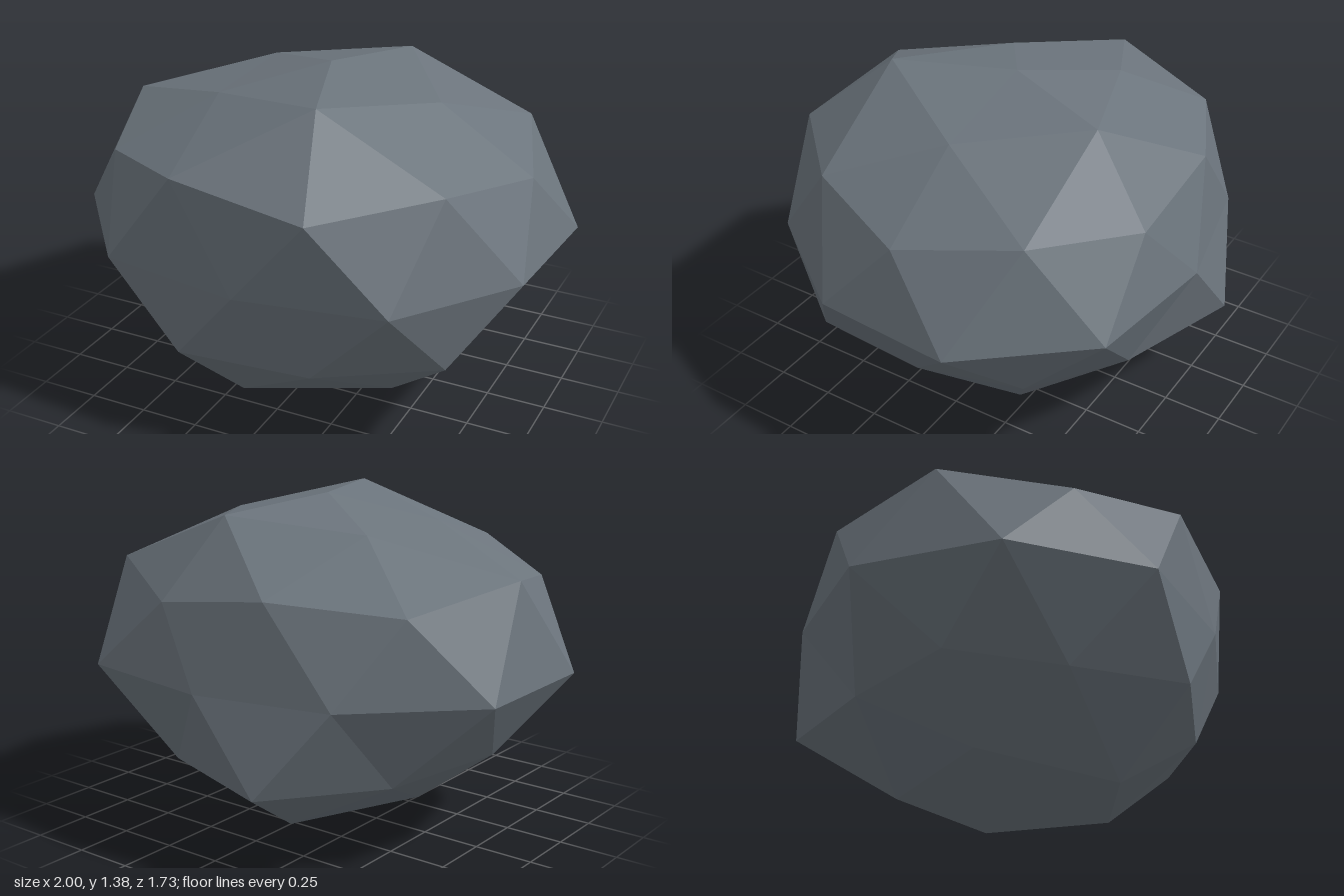
import * as THREE from 'three';

// Boulder: a once-subdivided icosahedron standing on a pole, with a rough radius per vertex.
// Each row: height and ring radius on the unit sphere (even / odd corners), start angle, roughness.
const ROWS = [
  { even: [0.851, 0.526], odd: [0.851, 0.526], start: 0, step: 72,
    rough: [0.846, 0.98, 0.83, 0.845, 0.92] },
  { even: [0.447, 0.894], odd: [0.526, 0.851], start: 0, step: 36,
    rough: [0.906, 0.925, 1.0, 1.0, 0.945, 1.0, 0.95, 0.9, 0.86, 0.95] },
  { even: [0, 1], odd: [0, 1], start: 18, step: 36,
    rough: [0.925, 0.94, 0.868, 0.96, 0.98, 0.975, 0.89, 0.845, 0.945, 0.965] },
  { even: [-0.526, 0.851], odd: [-0.447, 0.894], start: 0, step: 36,
    rough: [0.812, 0.925, 0.88, 0.95, 0.876, 0.85, 0.858, 1.01, 0.845, 0.85] },
  { even: [-0.851, 0.526], odd: [-0.851, 0.526], start: 36, step: 72,
    rough: [0.91, 0.98, 0.835, 0.91, 0.895] },
];
const STRETCH = new THREE.Vector3(1.08, 0.79, 1);
const CENTRE = new THREE.Vector3(0.01, 0.71, 0);

function place(x, y, z, rough) {
  return new THREE.Vector3(x, y, z).multiplyScalar(rough).multiply(STRETCH).add(CENTRE);
}

function boulderGeometry() {
  const rings = ROWS.map(({ even, odd, start, step, rough }) => rough.map((s, i) => {
    const [y, r] = i % 2 ? odd : even;
    const a = THREE.MathUtils.degToRad(start + step * i);
    return place(r * Math.cos(a), y, r * Math.sin(a), s);
  }));
  const [cap, upper, middle, lower, base] = rings;
  const top = place(0, 1, 0, 0.848);
  const bottom = place(0, -1, 0, 0.8987);
  const at = (ring, i) => ring[(i + ring.length) % ring.length];
  const points = [];
  const face = (a, b, c) => points.push(a, b, c);

  // top and bottom caps
  for (let i = 0; i < 5; i++) {
    const u = at(cap, i), v = at(cap, i + 1), m = at(upper, 2 * i + 1);
    face(top, v, u);
    face(u, m, at(upper, 2 * i));
    face(u, v, m);
    face(v, at(upper, 2 * i + 2), m);

    const p = at(base, i), q = at(base, i + 1), n = at(lower, 2 * i + 2);
    face(bottom, p, q);
    face(p, at(lower, 2 * i + 1), n);
    face(p, n, q);
    face(q, n, at(lower, 2 * i + 3));
  }
  // two bands around the middle
  for (let j = 0; j < 10; j++) {
    const e = at(middle, j), d = at(middle, j - 1);
    face(at(upper, j), at(upper, j + 1), e);
    face(d, at(upper, j), e);
    face(e, at(lower, j + 1), at(lower, j));
    face(d, e, at(lower, j));
  }

  const geometry = new THREE.BufferGeometry().setFromPoints(points);
  geometry.computeVertexNormals();
  return geometry;
}

export function createModel() {
  const stone = new THREE.MeshStandardMaterial({ color: 0x6b747c, flatShading: true });
  stone.name = 'slateGreyStone';

  const boulder = new THREE.Mesh(boulderGeometry(), stone);
  boulder.name = 'boulder';

  const group = new THREE.Group();
  group.name = 'rock';
  group.add(boulder);
  return group;
}
